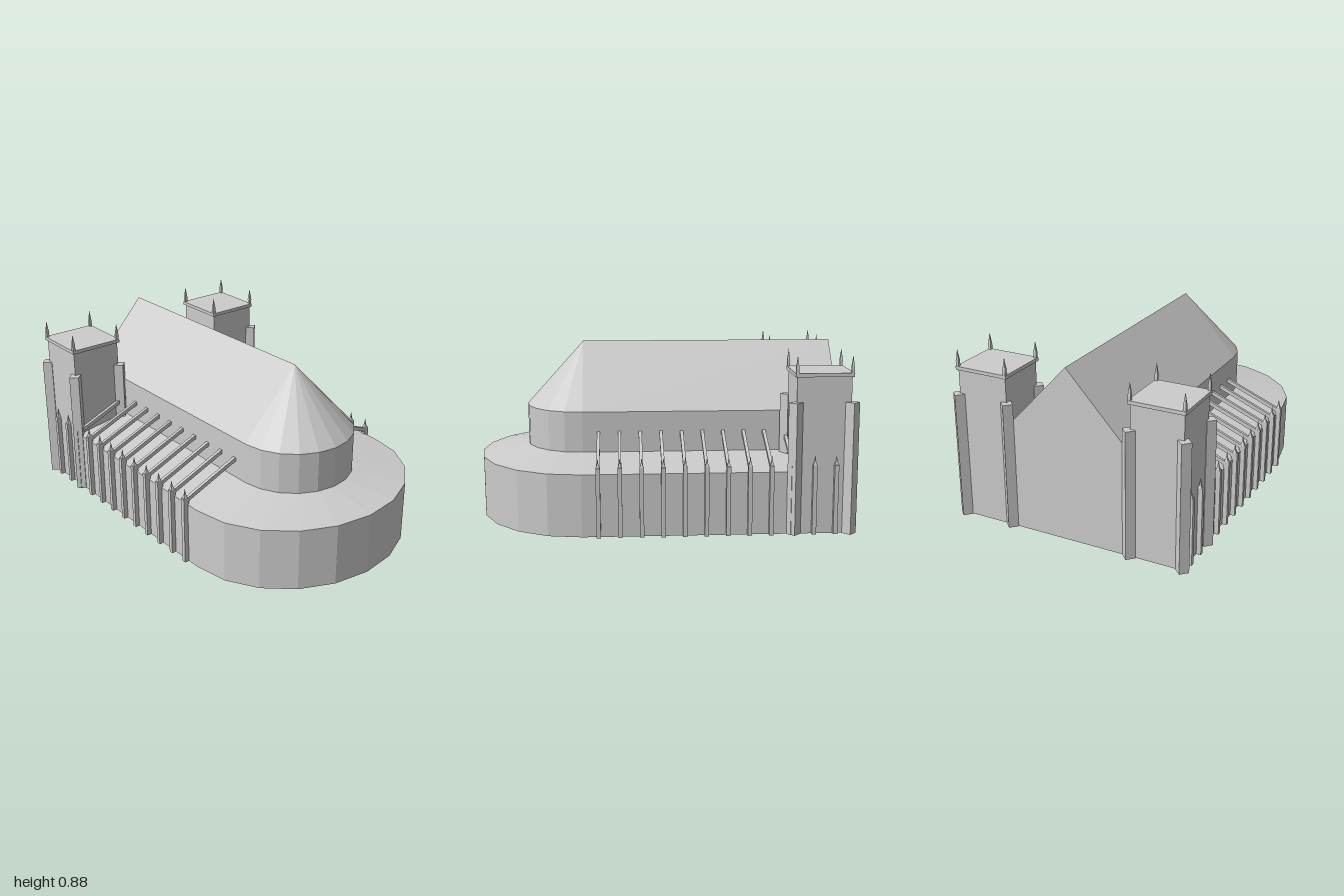
import * as THREE from 'three';

const stone = new THREE.MeshStandardMaterial({ color: 0xcccccc, flatShading: true, side: THREE.DoubleSide });
stone.name = 'pale stone';

// Local frame: x runs along the nave towards the apse, z across it, origin at the apse centre.
const BACK = -1.296, NAVE = 0.3, AISLE = 0.592;
const WALL = 0.31, LEAN = 0.355, EAVE = 0.56, RIDGE = 0.885;

function add(parent, geometry, name, x = 0, y = 0, z = 0) {
  const mesh = new THREE.Mesh(geometry, stone);
  mesh.name = name;
  mesh.position.set(x, y, z);
  parent.add(mesh);
  return mesh;
}

// Leaves out the triangles whose three corners all satisfy the test
function without(geometry, test) {
  const src = geometry.index ? geometry.toNonIndexed() : geometry;
  const p = src.attributes.position, pos = [];
  for (let i = 0; i < p.count; i += 3) {
    const tri = [0, 1, 2].map(k => new THREE.Vector3().fromBufferAttribute(p, i + k));
    if (!tri.every(test)) tri.forEach(c => pos.push(c.x, c.y, c.z));
  }
  const g = new THREE.BufferGeometry();
  g.setAttribute('position', new THREE.Float32BufferAttribute(pos, 3));
  g.computeVertexNormals();
  return g;
}
const onGround = c => c.y < 1e-5;
const onNaveWall = c => Math.abs(Math.abs(c.z) - NAVE) < 1e-5;

// Floorless hall: cross-section of [z, y] points drawn out along the nave
function hall(points) {
  const shape = new THREE.Shape(points.map(([z, y]) => new THREE.Vector2(z, y)));
  const g = new THREE.ExtrudeGeometry(shape, { depth: -BACK, bevelEnabled: false });
  return without(g.rotateY(-Math.PI / 2), onGround);
}

// Half-round shell through rings of [length, halfWidth, y]
function halfShell(rings, sides = 10) {
  const pos = [], idx = [];
  rings.forEach(([a, b, y]) => {
    for (let i = 0; i <= sides; i++) {
      const t = Math.PI * (i / sides - 0.5);
      pos.push(a * Math.cos(t), y, b * Math.sin(t));
    }
  });
  const n = sides + 1;
  for (let r = 0; r < rings.length - 1; r++) {
    for (let i = 0; i < sides; i++) {
      const p = r * n + i, q = p + n;
      idx.push(p, q, p + 1, p + 1, q, q + 1);
    }
  }
  const g = new THREE.BufferGeometry();
  g.setAttribute('position', new THREE.Float32BufferAttribute(pos, 3));
  g.setIndex(idx);
  g.computeVertexNormals();
  return g;
}

// Four-sided spire standing on a small block
function pinnacle(parent, x, y, z) {
  add(parent, new THREE.BoxGeometry(0.014, 0.024, 0.014), 'pinnacleBase', x, y + 0.012, z);
  const spike = new THREE.ConeGeometry(0.011, 0.064, 4).rotateY(Math.PI / 4);
  add(parent, spike, 'pinnacleSpike', x, y + 0.056, z);
}

function buildTower(side) {
  const tower = new THREE.Group();
  tower.name = side > 0 ? 'frontTower' : 'rearTower';
  const w = 0.265, x0 = BACK + w / 2, z0 = side * (AISLE - w / 2);
  const walls = new THREE.BoxGeometry(w, 0.775, w).translate(0, 0.3875, 0);
  add(tower, without(walls, onGround), 'towerBody', x0, 0, z0);
  add(tower, new THREE.BoxGeometry(w + 0.018, 0.018, w + 0.018), 'cornice', x0, 0.781, z0);
  for (const sx of [-1, 1]) {
    for (const sz of [-1, 1]) {
      const x = x0 + sx * w / 2, z = z0 + sz * w / 2;
      // Diagonal corner buttress
      const b = add(tower, new THREE.BoxGeometry(0.049, 0.65, 0.049), 'cornerButtress', x + sx * 0.004, 0.325, z + sz * 0.004);
      b.rotation.y = Math.PI / 4;
      pinnacle(tower, x, 0.788, z);
    }
  }
  return tower;
}

function buildButtresses(side) {
  const row = new THREE.Group();
  row.name = side > 0 ? 'frontButtresses' : 'rearButtresses';
  for (let k = 0; k < 12; k++) {
    const x = -0.08 - 0.1045 * k, z = side * 0.6;
    add(row, new THREE.BoxGeometry(0.021, 0.345, 0.03), 'pier', x, 0.1725, z);
    const cap = new THREE.CylinderGeometry(0.005, 0.014, 0.018, 4).rotateY(Math.PI / 4);
    add(row, cap, 'pierCap', x, 0.354, z);
    add(row, new THREE.ConeGeometry(0.006, 0.032, 4).rotateY(Math.PI / 4), 'pierSpike', x, 0.377, z);
    // Flying strut from the pier up to the nave wall
    if (k < 10) {
      const rise = 0.122, run = 0.3;
      const strut = add(row, new THREE.BoxGeometry(0.016, 0.02, Math.hypot(rise, run)), 'flyingStrut', x, 0.391, side * 0.448);
      strut.rotation.x = side * Math.atan2(rise, run);
    }
  }
  return row;
}

export function createModel() {
  const model = new THREE.Group();
  model.name = 'church';
  const body = new THREE.Group();
  body.name = 'churchBody';
  body.rotation.y = -0.3735;
  body.position.set(0.46, 0, 0.239);
  model.add(body);

  // Nave with gabled roof
  add(body, hall([[-NAVE, 0], [NAVE, 0], [NAVE, EAVE], [0, RIDGE], [-NAVE, EAVE]]), 'nave');

  // Apse: inner drum with half-cone roof, outer walk with sloping roof
  add(body, halfShell([[0.295, NAVE, 0], [0.295, NAVE, EAVE]]), 'apseWall');
  add(body, halfShell([[0.295, NAVE, EAVE], [0, 0, RIDGE]]), 'apseRoof');
  add(body, halfShell([[0.537, AISLE, 0], [0.537, AISLE, WALL]]), 'ambulatoryWall');
  add(body, halfShell([[0.537, AISLE, WALL], [0.295, NAVE, LEAN]]), 'ambulatoryRoof');

  // Aisles, towers and buttresses on both sides
  for (const s of [1, -1]) {
    const aisle = hall([[s * NAVE, 0], [s * AISLE, 0], [s * AISLE, WALL], [s * NAVE, LEAN]]);
    add(body, without(aisle, onNaveWall), s > 0 ? 'frontAisle' : 'rearAisle');
    body.add(buildTower(s), buildButtresses(s));
  }
  return model;
}
